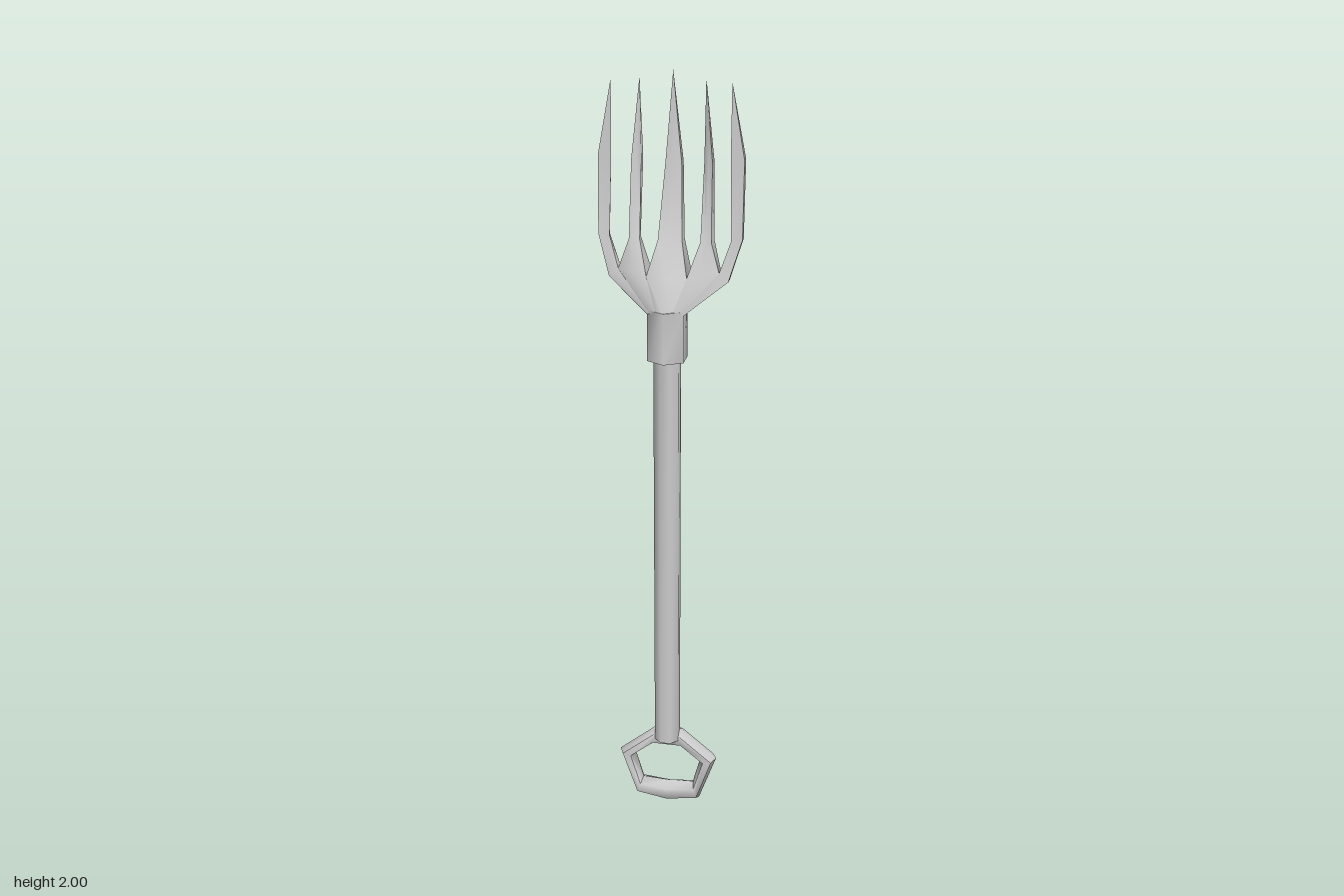
import * as THREE from 'three';
import { toCreasedNormals } from 'three/addons/utils/BufferGeometryUtils.js';

const material = new THREE.MeshStandardMaterial({ color: 0xcccccc });
const CZ = 0.034; // depth of the shaft axis

function add(group, name, geometry) {
  const mesh = new THREE.Mesh(toCreasedNormals(geometry, 1.1), material);
  mesh.name = name;
  group.add(mesh);
  return mesh;
}

// Skin a list of equal-length rings; closed joins the last ring to the first
function loft(rings, closed = false) {
  const n = rings[0].length;
  const index = [];
  const steps = closed ? rings.length : rings.length - 1;
  for (let r = 0; r < steps; r++) {
    const a = r * n, b = ((r + 1) % rings.length) * n;
    for (let i = 0; i < n; i++) {
      const j = (i + 1) % n;
      index.push(a + i, a + j, b + i, a + j, b + j, b + i);
    }
  }
  const geometry = new THREE.BufferGeometry();
  geometry.setAttribute('position', new THREE.Float32BufferAttribute(rings.flat(2), 3));
  geometry.setIndex(index);
  geometry.computeVertexNormals();
  return geometry;
}

// Tine section: corners as [x, z] (inner/outer, front/back) plus ridge bumps
function section(yIn, yOut, inF, outF, outB, inB, bumpF = 0, bumpB = 0) {
  const y = (yIn + yOut) / 2;
  return [
    [(inF[0] + outF[0]) / 2, y, (inF[1] + outF[1]) / 2 + bumpF],
    [outF[0], yOut, outF[1]],
    [outB[0], yOut, outB[1]],
    [(inB[0] + outB[0]) / 2, y, (inB[1] + outB[1]) / 2 - bumpB],
    [inB[0], yIn, inB[1]],
    [inF[0], yIn, inF[1]],
  ];
}
const tip = (x, y, z) => Array.from({ length: 6 }, () => [x, y, z]);
const mirror = (rings) => rings.map((r) => r.map(([x, y, z]) => [-x, y, z]).reverse());
const symmetric = (y, w, f, b, bumpF, bumpB) =>
  section(y, y, [-w, f], [w, f], [w, b], [-w, b], bumpF, bumpB);

export function createModel() {
  const group = new THREE.Group();

  // Wooden shaft
  const shaft = new THREE.CylinderGeometry(0.035, 0.035, 1.13, 8);
  add(group, 'shaft', shaft.rotateY(Math.PI / 8)).position.set(0, 0.775, CZ);

  // Hexagonal socket that holds the head
  add(group, 'socket', new THREE.CylinderGeometry(0.052, 0.053, 0.13, 6)).position.set(0, 1.375, CZ);

  // Pentagonal grip: stations of outer and inner rim points around the loop
  const half = [
    [[-0.035, 0.235], [-0.04, 0.182]],
    [[-0.135, 0.152], [-0.09, 0.142]],
    [[-0.088, 0.018], [-0.07, 0.067]],
  ];
  const flip = ([a, b]) => [[-a[0], a[1]], [-b[0], b[1]]];
  const stations = [
    ...half,
    [[0, 0], [0, 0.064]],
    ...half.map(flip).reverse(),
    [[0, 0.24], [0, 0.18]],
  ];
  const gripRings = stations.map(([o, i]) => {
    const at = (t, dz) => [o[0] + (i[0] - o[0]) * t, o[1] + (i[1] - o[1]) * t, 0.024 + dz];
    return [at(0.25, 0.024), at(0, 0), at(0.25, -0.024), at(0.75, -0.024), at(1, 0), at(0.75, 0.024)];
  });
  add(group, 'grip', loft(gripRings, true));

  // Head: tines share their lower edges, so together they form the fan
  const center = [
    symmetric(1.43, 0.018, 0.0755, -0.0075, 0.0105, 0.0105),
    symmetric(1.52, 0.05, 0.045, -0.022, 0.01, 0.003),
    symmetric(1.6, 0.03, 0, -0.034, 0.002, 0.008),
    symmetric(1.78, 0.02, -0.045, -0.07, 0.005, 0.015),
    tip(0, 2, -0.04),
  ];
  const middle = [
    section(1.43, 1.43, [0.018, 0.0755], [0.036, 0.065], [0.036, 0.003], [0.018, -0.0075]),
    section(1.52, 1.53, [0.05, 0.045], [0.125, 0.02], [0.125, -0.008], [0.05, -0.022], 0.002),
    section(1.6, 1.6, [0.075, 0], [0.102, 0.001], [0.105, -0.028], [0.08, -0.035], 0.002, 0.003),
    section(1.79, 1.79, [0.077, -0.035], [0.099, -0.021], [0.099, -0.048], [0.08, -0.07]),
    tip(0.08, 1.985, -0.035),
  ];
  const outer = [
    section(1.43, 1.43, [0.036, 0.065], [0.045, 0.06], [0.045, 0.008], [0.036, 0.003]),
    section(1.53, 1.51, [0.125, 0.02], [0.148, 0.022], [0.148, -0.002], [0.125, -0.008]),
    section(1.605, 1.61, [0.15, 0], [0.178, 0.001], [0.178, -0.018], [0.155, -0.024]),
    section(1.8, 1.8, [0.145, -0.008], [0.178, -0.008], [0.179, -0.026], [0.165, -0.036]),
    tip(0.145, 1.98, -0.014),
  ];
  add(group, 'centerTine', loft(center));
  add(group, 'leftMiddleTine', loft(middle));
  add(group, 'rightMiddleTine', loft(mirror(middle)));
  add(group, 'leftOuterTine', loft(outer));
  add(group, 'rightOuterTine', loft(mirror(outer)));

  return group;
}
